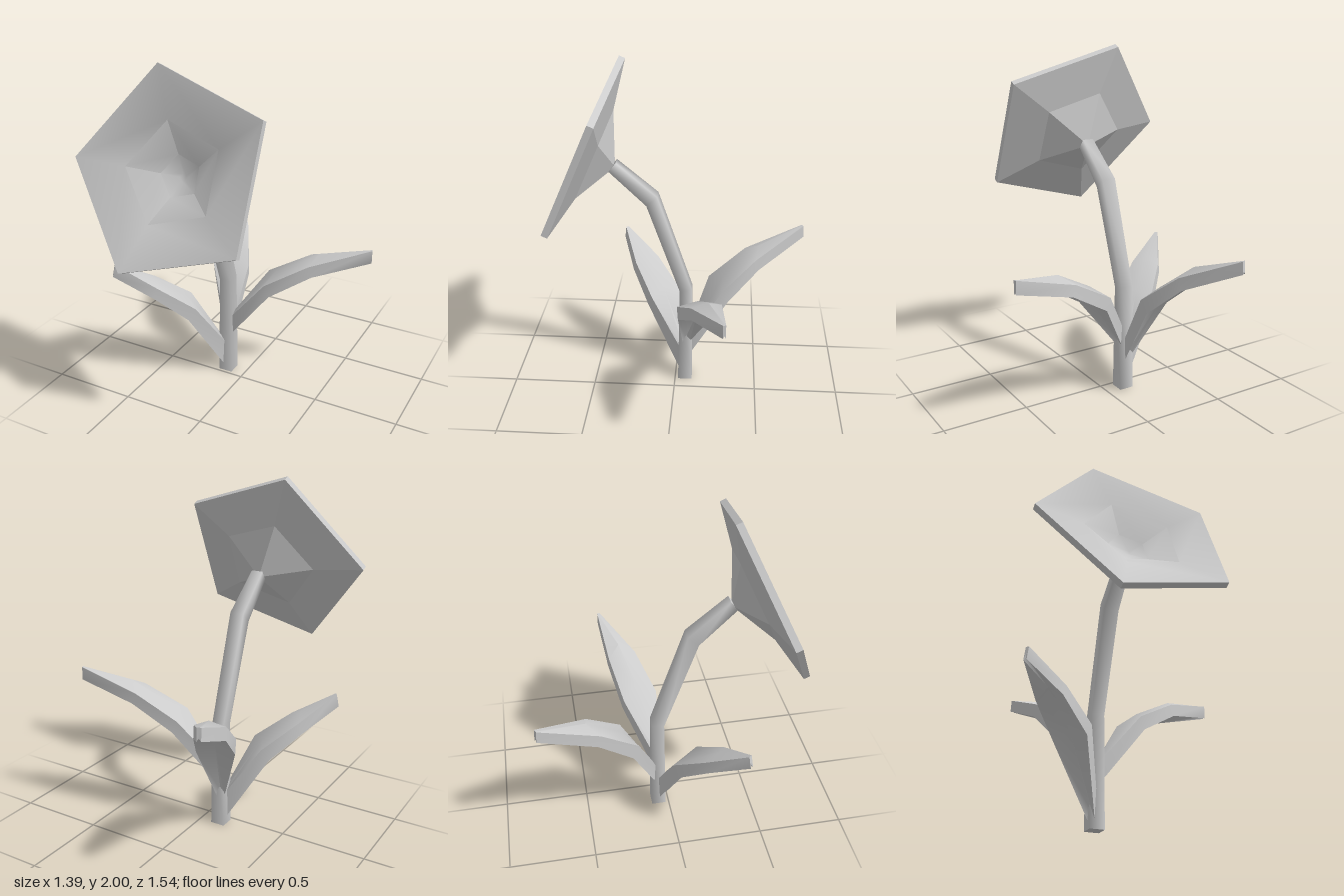
import * as THREE from 'three';
import { toCreasedNormals } from 'three/addons/utils/BufferGeometryUtils.js';

// Skin a list of equal-length loops (counter-clockwise about the path), with end caps.
function skin(loops, crease, capStart = true, capEnd = true) {
  const n = loops[0].length, pos = loops.flat(2), idx = [];
  for (let i = 0; i < loops.length - 1; i++) {
    for (let j = 0; j < n; j++) {
      const a = i * n + j, b = i * n + (j + 1) % n;
      idx.push(a, b, a + n, b, b + n, a + n);
    }
  }
  const cap = (loop, flip) => {
    const start = pos.length / 3;
    const mid = [0, 1, 2].map(k => loop.reduce((s, p) => s + p[k], 0) / n);
    pos.push(...mid, ...loop.flat());
    for (let j = 0; j < n; j++) {
      const a = start + 1 + j, b = start + 1 + (j + 1) % n;
      idx.push(start, flip ? b : a, flip ? a : b);
    }
  };
  if (capStart) cap(loops[0], true);
  if (capEnd) cap(loops[loops.length - 1], false);
  const g = new THREE.BufferGeometry();
  g.setAttribute('position', new THREE.Float32BufferAttribute(pos, 3));
  g.setIndex(idx);
  g.computeVertexNormals();
  return crease === undefined ? g : toCreasedNormals(g.toNonIndexed(), crease);
}

export function createModel() {
  const model = new THREE.Group();
  model.name = 'flower';
  const grey = new THREE.MeshStandardMaterial({ color: 0xcccccc });
  grey.name = 'plain grey';
  const add = (parent, name, geometry) => {
    const m = new THREE.Mesh(geometry, grey);
    m.name = name;
    parent.add(m);
    return m;
  };

  // Stem: square section, smooth sides; [y, z, tangent y, tangent z, half width]
  const stemX = -0.12;
  const stem = [
    [0, -0.062, 1, 0, 0.0425],
    [0.64, -0.064, 0.98, 0.18, 0.037],
    [1.22, 0.133, 0.755, 0.656, 0.042],
    [1.42, 0.355, 0.62, 0.78, 0.034],
  ].map(([y, z, ty, tz, h]) =>
    [[1, 1], [-1, 1], [-1, -1], [1, -1]].map(([a, b]) =>
      [stemX + a * h, y + b * h * tz, z - b * h * ty]));
  add(model, 'stem', skin(stem));

  // Blossom: pentagonal rings [radius, height along its axis]
  const blossom = new THREE.Group();
  blossom.name = 'blossom';
  blossom.position.set(-0.126, 1.5, 0.5475);
  blossom.rotation.x = -0.42;
  model.add(blossom);
  const rings = list => list.map(([r, h]) =>
    Array.from({ length: 5 }, (_, k) => {
      const a = Math.PI + k * Math.PI * 2 / 5;
      return [r * Math.cos(a), r * Math.sin(a), h];
    }));
  add(blossom, 'petalBack', skin(
    rings([[0.03, -0.21], [0.287, -0.09], [0.573, -0.037], [0.573, 0]]), 0.01, true, false));
  add(blossom, 'petalFront', skin(
    rings([[0.573, 0], [0.287, -0.05], [0.12, -0.135], [0.02, -0.165]]), 0.6, false, true));

  // Leaves: arched blades. Rows are
  // [reach, edge y, half width, ridge reach offset, ridge rise, underside reach offset, underside drop]
  const leaf = (name, turn, rows) => {
    const loops = rows.map(([s, y, w, ms, my, ls, ly]) => [
      [s, y, -w], [s + ms, y + my, 0], [s, y, w],
      [s + ls, y - ly, w], [s + ms + ls * 0.5, y + my - ly * 0.8, 0], [s + ls, y - ly, -w],
    ]);
    const m = add(model, name, skin(loops, 0.7));
    m.position.set(stemX, 0, -0.06);
    m.rotation.y = turn * Math.PI / 180;
  };
  leaf('leftLeaf', 16.5, [
    [0.02, 0.38, 0.022, 0, 0.01, 0.01, 0.11],
    [0.235, 0.66, 0.107, 0.06, 0.06, 0.03, 0.07],
    [0.49, 0.80, 0.087, 0.05, 0.05, 0.02, 0.065],
    [0.845, 0.90, 0.008, 0, 0, 0, 0.078],
  ]);
  leaf('backLeaf', 112.5, [
    [0.02, 0.30, 0.022, 0, 0.01, 0.01, 0.12],
    [0.193, 0.63, 0.109, 0.05, 0.05, 0.04, 0.075],
    [0.42, 0.80, 0.086, 0.045, 0.05, 0.02, 0.07],
    [0.76, 0.94, 0.012, 0, 0, 0.005, 0.072],
  ]);
  leaf('rightLeaf', -142, [
    [0.02, 0.20, 0.022, 0, 0.01, 0.015, 0.15],
    [0.212, 0.50, 0.105, 0.03, 0.03, 0.045, 0.07],
    [0.428, 0.645, 0.084, 0.03, 0.04, 0.03, 0.06],
    [0.665, 0.785, 0.01, 0, 0, 0.015, 0.075],
  ]);
  return model;
}
